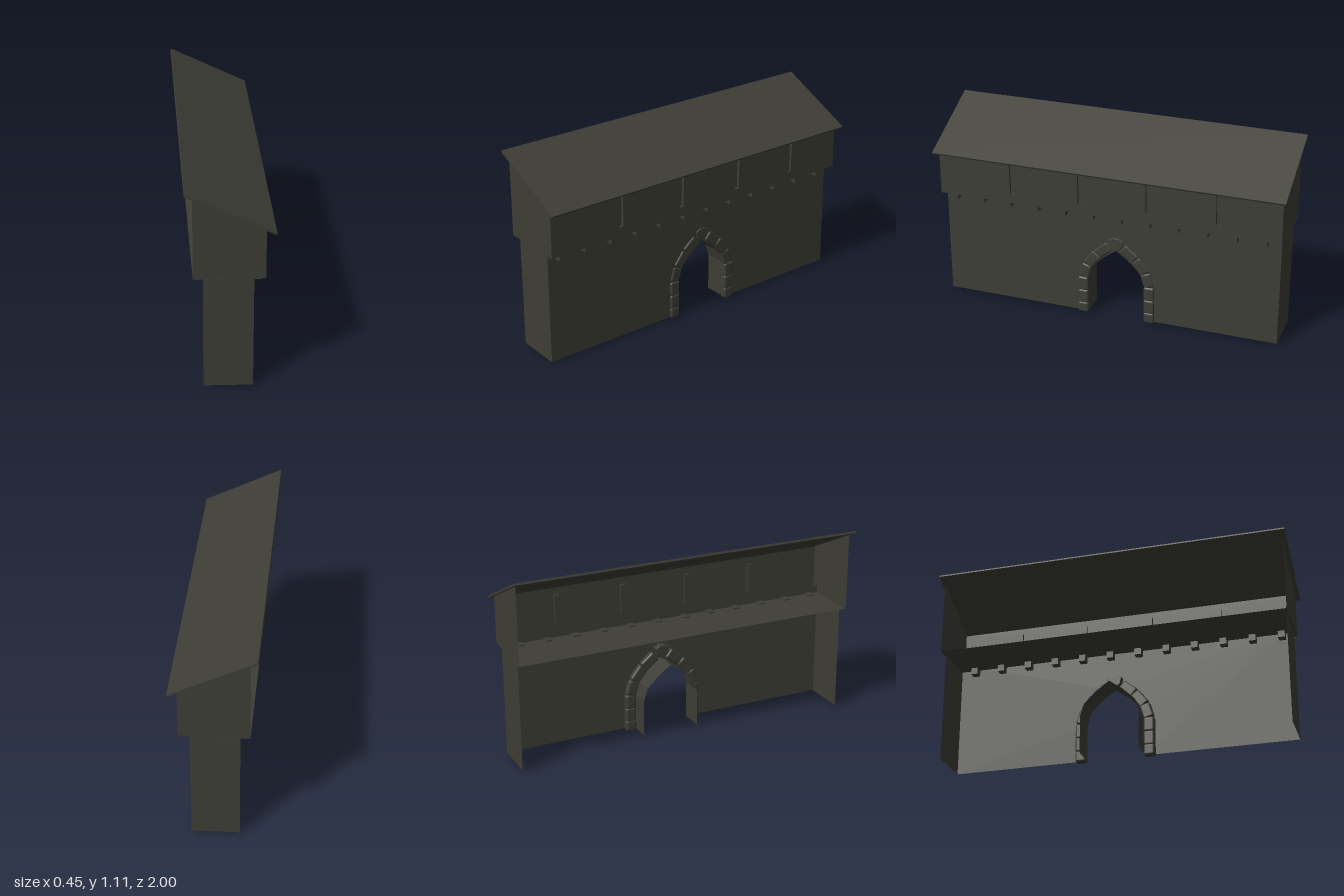
import * as THREE from 'three';
import { RoundedBoxGeometry } from 'three/addons/geometries/RoundedBoxGeometry.js';

const stone = new THREE.MeshStandardMaterial({ color: 0x3e3e36, side: THREE.DoubleSide });
stone.name = 'darkStone';

const ARCH_Z = -0.043; // centre of the gateway

function createModel() {
  const root = new THREE.Group();
  root.name = 'gateWall';

  const add = (name, geometry, parent = root) => {
    const mesh = new THREE.Mesh(geometry, stone);
    mesh.name = name;
    parent.add(mesh);
    return mesh;
  };
  const group = (name) => {
    const g = new THREE.Group();
    g.name = name;
    root.add(g);
    return g;
  };
  const shapeOf = (points) => new THREE.Shape(points.map(([a, b]) => new THREE.Vector2(a, b)));

  // Flat sheet facing +x, outlined by [z, y] points, with optional holes
  const sideSheet = (points, x, holes = []) => {
    const flip = (list) => list.map(([z, y]) => [-z, y]);
    const shape = shapeOf(flip(points));
    holes.forEach((h) => shape.holes.push(shapeOf(flip(h))));
    return new THREE.ShapeGeometry(shape).rotateY(Math.PI / 2).translate(x, 0, 0);
  };
  // Strip that follows [z, y] points and spans x0 to x1
  const ribbon = (points, x0, x1) => {
    const geo = new THREE.PlaneGeometry(1, 1, points.length - 1, 1);
    const pos = geo.attributes.position;
    for (let i = 0; i < pos.count; i++) {
      const [z, y] = points[i % points.length];
      pos.setXYZ(i, i < points.length ? x0 : x1, y, z);
    }
    const flat = geo.toNonIndexed();
    flat.computeVertexNormals();
    return flat;
  };

  // Lower wall: front sheet with a pointed gateway, ends, open back
  const half = [[0.165, 0.01], [0.165, 0.225], [0.142, 0.295], [0.075, 0.36]];
  const arch = [
    ...half.map(([d, y]) => [ARCH_Z + d, y]),
    [ARCH_Z, 0.415],
    ...half.slice().reverse().map(([d, y]) => [ARCH_Z - d, y]),
  ];
  add('lowerWallFront', sideSheet([[0.97, 0.01], ...arch, [-0.97, 0.01], [-0.97, 0.68], [0.97, 0.68]], 0.118));
  add('gatewayReveal', ribbon(arch, 0.118, -0.02));
  for (const s of [1, -1]) {
    const end = shapeOf([[-0.135, 0.013], [0.118, 0.008], [0.118, 0.68], [-0.135, 0.68]]);
    add('lowerWallEnd', new THREE.ShapeGeometry(end).translate(0, 0, 0.97 * s));
  }

  // Rounded stones around the gateway
  const stones = group('archStones');
  const path = [[0.194, 0], [0.194, 0.06], [0.194, 0.14], [0.194, 0.22], [0.17, 0.3], [0.112, 0.375], [0.04, 0.435]];
  for (const s of [1, -1]) {
    for (let i = 0; i < path.length - 1; i++) {
      const [d0, y0] = path[i];
      const [d1, y1] = path[i + 1];
      const length = Math.hypot(d1 - d0, y1 - y0) + 0.004;
      const depth = i < 3 ? 0.045 : 0.04;
      const block = add('archStone', new RoundedBoxGeometry(depth, length, 0.062, 2, 0.012), stones);
      block.position.set(i < 3 ? 0.107 : 0.105, (y0 + y1) / 2 + (i ? 0 : 0.002), ARCH_Z + (s * (d0 + d1)) / 2);
      block.rotation.x = Math.atan2(s * (d1 - d0), y1 - y0);
    }
  }
  const key = new THREE.ExtrudeGeometry(
    shapeOf([[0, 0.415], [0.03, 0.44], [0.038, 0.475], [0.015, 0.488], [-0.015, 0.488], [-0.038, 0.475], [-0.03, 0.44]]),
    { depth: 0.034, bevelSize: 0.004, bevelThickness: 0.004, bevelSegments: 2 }
  );
  add('keystone', key.rotateY(Math.PI / 2).translate(0.087, 0, ARCH_Z), stones);

  // Overhanging gallery: floor, front with arrow slits, ends, open back
  add('galleryFloor', ribbon([[0.98, 0.638], [-0.98, 0.638]], -0.185, 0.175));
  const slits = [0.545, 0.145, -0.245, -0.635].map((z) => [
    [z - 0.012, 0.69], [z + 0.012, 0.69], [z + 0.015, 0.86], [z - 0.015, 0.86],
  ]);
  add('galleryFront', sideSheet([[0.98, 0.636], [-0.98, 0.636], [-0.98, 0.9], [0.98, 0.9]], 0.175, slits));
  const slitGroup = group('arrowSlits');
  for (const slit of slits) {
    add('slitSides', ribbon([...slit, slit[0]], 0.175, 0.16), slitGroup);
    add('slitBack', sideSheet(slit, 0.16), slitGroup);
  }
  for (const s of [1, -1]) {
    const end = shapeOf([[-0.185, 0.641], [0.175, 0.636], [0.175, 0.903], [-0.185, 1.078]]);
    add('galleryEnd', new THREE.ShapeGeometry(end).translate(0, 0, 0.98 * s));
  }

  // Corbels carrying the gallery
  const corbels = group('corbels');
  for (let i = 0; i < 12; i++) {
    add('corbel', new THREE.BoxGeometry(0.085, 0.045, 0.038), corbels)
      .position.set(0.1165, 0.6225, 0.906 - i * 0.1623);
  }

  // Single-pitch roof slab
  const roof = shapeOf([[-0.225, 1.096], [0.219, 0.882], [0.224, 0.892], [-0.22, 1.107]]);
  add('roof', new THREE.ExtrudeGeometry(roof, { depth: 2, bevelEnabled: false }).translate(0, 0, -1));

  return root;
}

export { createModel };
